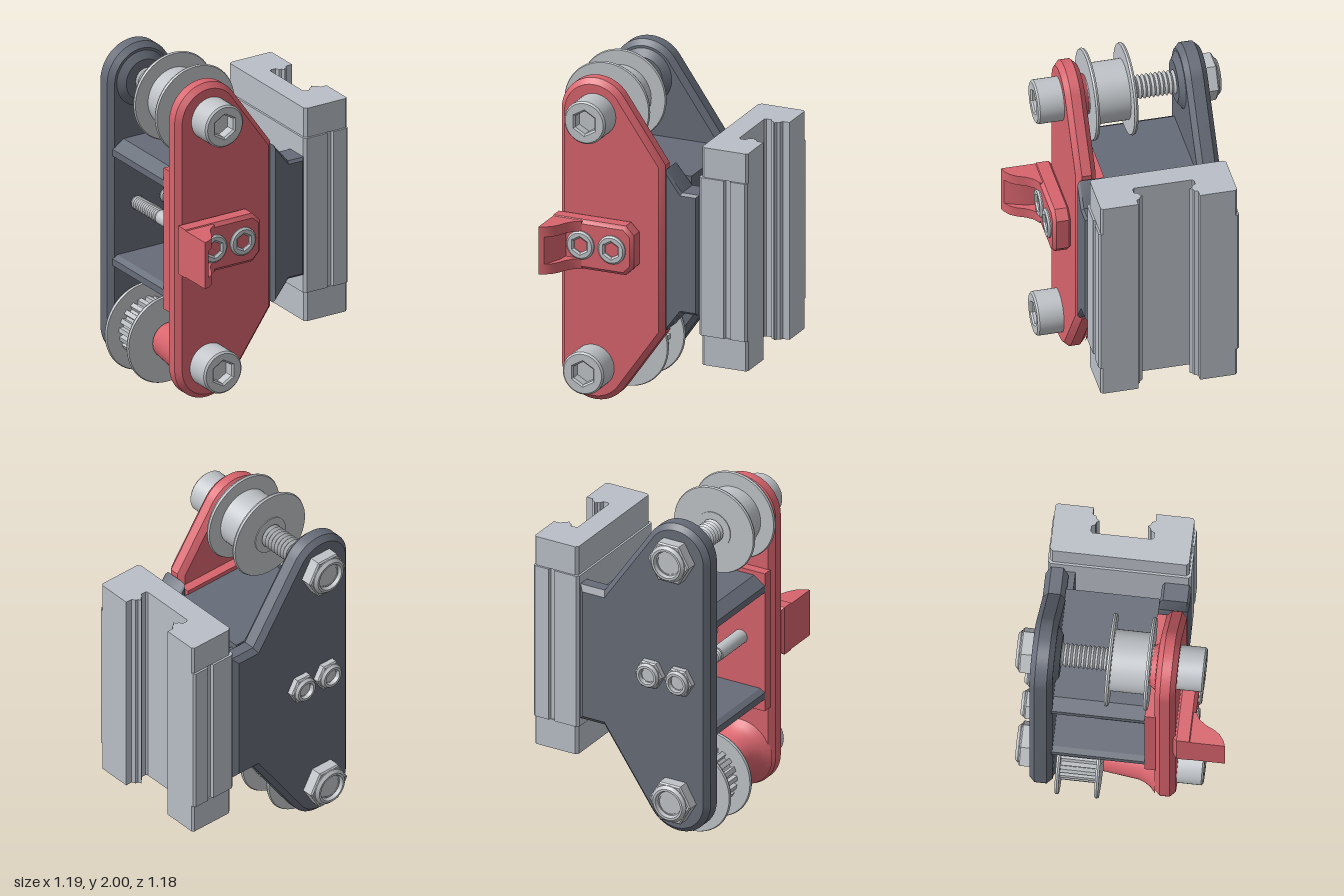
import * as THREE from 'three';
import { toCreasedNormals } from 'three/addons/utils/BufferGeometryUtils.js';

const mat = (name, color) => new THREE.MeshStandardMaterial({ name, color });

export function createModel() {
  const red = mat('red plastic', 0xd8646d);
  const dark = mat('dark grey plastic', 0x666c78);
  const steel = mat('steel', 0xc0c4c8);
  const alloy = mat('carriage alloy', 0xbac0c8);

  const root = new THREE.Group();
  root.name = 'beltTensionCarriage';

  const add = (name, geo, material, x = 0, y = 0, z = 0, parent = root) => {
    const m = new THREE.Mesh(toCreasedNormals(geo, 0.55), material);
    m.name = name;
    m.position.set(x, y, z);
    parent.add(m);
    return m;
  };
  const poly = pts => new THREE.Shape(pts.map(p => new THREE.Vector2(p[0], p[1])));
  const ring = (r, n, turn = 0) => Array.from({ length: n }, (_, i) => {
    const a = turn + i / n * Math.PI * 2;
    return [r * Math.cos(a), r * Math.sin(a)];
  });

  // Extrusion along z from z0 to z1 with an inward chamfer
  const extZ = (shape, z0, z1, b = 0) => new THREE.ExtrudeGeometry(shape, {
    depth: z1 - z0 - 2 * b, bevelEnabled: b > 0, bevelThickness: b, bevelSize: b,
    bevelOffset: -b, bevelSegments: 1, curveSegments: 20,
  }).translate(0, 0, z0 + b);
  // Extrusion of an (x, z) outline along y
  const extY = (shape, y0, y1, b = 0) =>
    extZ(shape, 0, y1 - y0, b).rotateX(Math.PI / 2).translate(0, y1, 0);
  // Lathe about z from [radius, z] points, listed by rising z
  const latheZ = (pts, n = 40) => new THREE.LatheGeometry(
    pts.map(p => new THREE.Vector2(p[0], p[1])), n).rotateX(Math.PI / 2);
  const cylZ = (r, z0, z1, n = 40) => latheZ([[0, z0], [r, z0], [r, z1], [0, z1]], n);

  const AX = -0.332, TOP = 1.745, LOW = 0.265, MID = 1.005;

  // Side plates: two rounded ends joined by a straight left edge and a tapered right side
  const plateShape = right => {
    const s = poly(right);
    s.absarc(AX, TOP, 0.207, 0.62, Math.PI, false);
    s.absarc(AX, LOW, 0.207, Math.PI, Math.PI * 2 - 0.62, false);
    s.closePath();
    return s;
  };
  add('frontPlate', extZ(plateShape([[0.092, 0.51], [0.092, 1.5]]), 0.195, 0.31, 0.03), red);
  add('backPlate', extZ(plateShape(
    [[0.145, 0.59], [0.302, 0.59], [0.302, 1.42], [0.145, 1.42]]), -0.503, -0.375, 0.03), dark);
  add('frontPlateRib', extZ(poly(
    [[-0.52, 0.58], [0.09, 0.58], [0.09, 1.43], [-0.52, 1.43]]), 0.14, 0.2), red);

  // Spacer: two webs, an inner wall and two mounting flanges
  for (const s of [1, -1]) {
    const pts = [[-0.52, 0.31], [-0.49, 0.29], [0.188, 0.29], [0.188, 0.4], [-0.45, 0.4], [-0.52, 0.35]];
    add('spacerWeb', extZ(poly(pts.map(p => [p[0], MID + s * p[1]])), -0.38, 0.145), dark);
  }
  add('spacerWall', new THREE.BoxGeometry(0.085, 0.62, 0.52), dark, 0.145, MID, -0.12);
  add('frontFlange', extZ(poly(
    [[0.1, 0.53], [0.2, 0.65], [0.302, 0.65], [0.302, 1.36], [0.2, 1.36], [0.1, 1.48]]), 0.145, 0.31, 0.015), dark);
  add('backFlange', extZ(poly(
    [[0.185, 0.64], [0.302, 0.64], [0.302, 1.37], [0.185, 1.37]]), -0.4, -0.34), dark);

  // Bosses around the axles
  add('upperFrontBoss', latheZ([[0.19, 0.195], [0.13, 0.19], [0.11, 0.16], [0, 0.16]].reverse()), red, AX, TOP);
  add('lowerFrontBoss', latheZ(
    [[0, -0.1], [0.105, -0.1], [0.13, 0.1], [0.145, 0.14], [0.165, 0.17], [0.2, 0.2]]), red, AX, LOW);
  for (const y of [TOP, LOW])
    add('backBoss', latheZ([[0.17, -0.38], [0.12, -0.345], [0, -0.345]]), dark, AX, y);

  // Finger hook with a scooped middle
  const block = [[-0.54, 0.86], [-0.1, 0.86], [-0.05, 0.91], [-0.05, 1.1], [-0.1, 1.15], [-0.54, 1.15]];
  add('hookBase', extZ(poly(block), 0.3, 0.41, 0.02), red);
  const curve = [[-0.54, 0.59], [-0.51, 0.58], [-0.475, 0.555], [-0.45, 0.52], [-0.43, 0.475],
    [-0.4, 0.435], [-0.36, 0.41], [-0.36, 0.38], [-0.54, 0.38]];
  const scoop = [[-0.54, 0.59], [-0.51, 0.58], [-0.49, 0.54], [-0.465, 0.47], [-0.455, 0.41],
    [-0.36, 0.405], [-0.36, 0.38], [-0.54, 0.38]];
  for (const [pts, y0, y1] of [[curve, 0.865, 0.925], [scoop, 0.925, 1.085], [curve, 1.085, 1.145]])
    add('hook', extY(poly(pts), y0, y1), red);

  // Socket-head bolt, nut and threaded shank sharing one axis
  const thread = (r, z0, z1, pitch) => {
    const pts = [];
    for (let z = z0; z < z1; z += pitch) pts.push([r * 0.8, z], [r, z + pitch * 0.5]);
    return latheZ([...pts, [r * 0.8, z1]], 24);
  };
  const fastener = (name, x, y, o) => {
    const g = new THREE.Group();
    g.name = name;
    g.position.set(x, y, 0);
    root.add(g);
    const head = new THREE.Shape().absarc(0, 0, o.r, 0, Math.PI * 2, false);
    head.holes.push(poly(ring(o.r * 0.54, 6, Math.PI / 6).reverse()));
    add('boltHead', extZ(head, o.h0, o.h1, 0.01), steel, 0, 0, 0, g);
    add('socketFloor', cylZ(o.r * 0.7, o.h0, o.h1 - o.r * 0.5), steel, 0, 0, 0, g);
    add('nut', extZ(poly(ring(o.n, 6)), -o.d + 0.02, -0.495, 0.008), steel, 0, 0, 0, g);
    const c = o.n * 0.82, t = o.rod;
    add('nutCollar', latheZ([[0, -o.d + 0.025], [t, -o.d + 0.025], [t * 1.15, -o.d], [c * 0.85, -o.d],
      [c, -o.d + 0.015], [c, -0.5]]), steel, 0, 0, 0, g);
    add('boltEnd', cylZ(t * 0.9, -0.5, -o.d + 0.005 + 0.01), steel, 0, 0, 0, g);
    add('threadedShank', thread(t, -0.48, o.t1, o.pitch), steel, 0, 0, 0, g);
    add('plainShank', cylZ(t, o.t1, 0.31, 24), steel, 0, 0, 0, g);
  };
  const big = { r: 0.125, h0: 0.3, h1: 0.458, n: 0.134, d: 0.592, rod: 0.07, t1: -0.06, pitch: 0.025 };
  const small = { r: 0.083, h0: 0.33, h1: 0.427, n: 0.09, d: 0.562, rod: 0.042, t1: -0.12, pitch: 0.018 };
  fastener('upperAxle', AX + 0.01, TOP, big);
  fastener('lowerAxle', AX, LOW, big);
  fastener('innerClampBolt', -0.175, MID, small);
  fastener('outerClampBolt', -0.365, MID, small);

  // Pulleys: a smooth idler above, a toothed one below
  const flange = (y, x, z) => add('pulleyFlange',
    latheZ([[0.07, z - 0.011], [0.256, z - 0.011], [0.261, z], [0.256, z + 0.011], [0.07, z + 0.011]], 64),
    steel, x, y);
  flange(TOP, AX + 0.01, -0.069);
  flange(TOP, AX + 0.01, 0.149);
  add('idlerHub', cylZ(0.173, -0.07, 0.15, 48), steel, AX + 0.01, TOP);
  add('idlerBearing', cylZ(0.11, -0.085, 0.165), steel, AX + 0.01, TOP);
  flange(LOW, AX, -0.122);
  flange(LOW, AX, -0.344);
  const teeth = [];
  for (let i = 0; i < 20; i++)
    for (const [r, k] of [[0.15, 0.05], [0.15, 0.4], [0.176, 0.48], [0.176, 0.97]]) {
      const a = (i + k) / 20 * Math.PI * 2;
      teeth.push([r * Math.cos(a), r * Math.sin(a)]);
    }
  add('toothedHub', extZ(poly(teeth), -0.344, -0.122), steel, AX, LOW);

  // Linear carriage: a C-shaped channel open to +x, with two end caps
  const channel = (x0, w, groove) => {
    const half = [[x0, w - 0.015], [x0 + 0.015, w],
      ...(groove ? [[0.455, w], [0.46, w - 0.02], [0.49, w - 0.02], [0.495, w]] : []),
      [0.583, w], [0.595, w - 0.012], [0.595, 0.175], [0.555, 0.175], [0.545, 0.155], [0.53, 0.15],
      [0.52, 0.134], [0.51, 0.15], [0.495, 0.155], [0.485, 0.175], [0.455, 0.175], [0.445, 0.165]];
    const other = half.map(p => [p[0], -p[1]]).reverse();
    return poly([...half, ...other].map(p => [p[0], p[1] - 0.096]));
  };
  add('carriageBody', extY(channel(0.303, 0.4, true), 0.54, 1.47), alloy);
  add('lowerEndCap', extY(channel(0.315, 0.388, false), 0.363, 0.54), alloy);
  add('upperEndCap', extY(channel(0.315, 0.388, false), 1.47, 1.645), alloy);

  return root;
}
